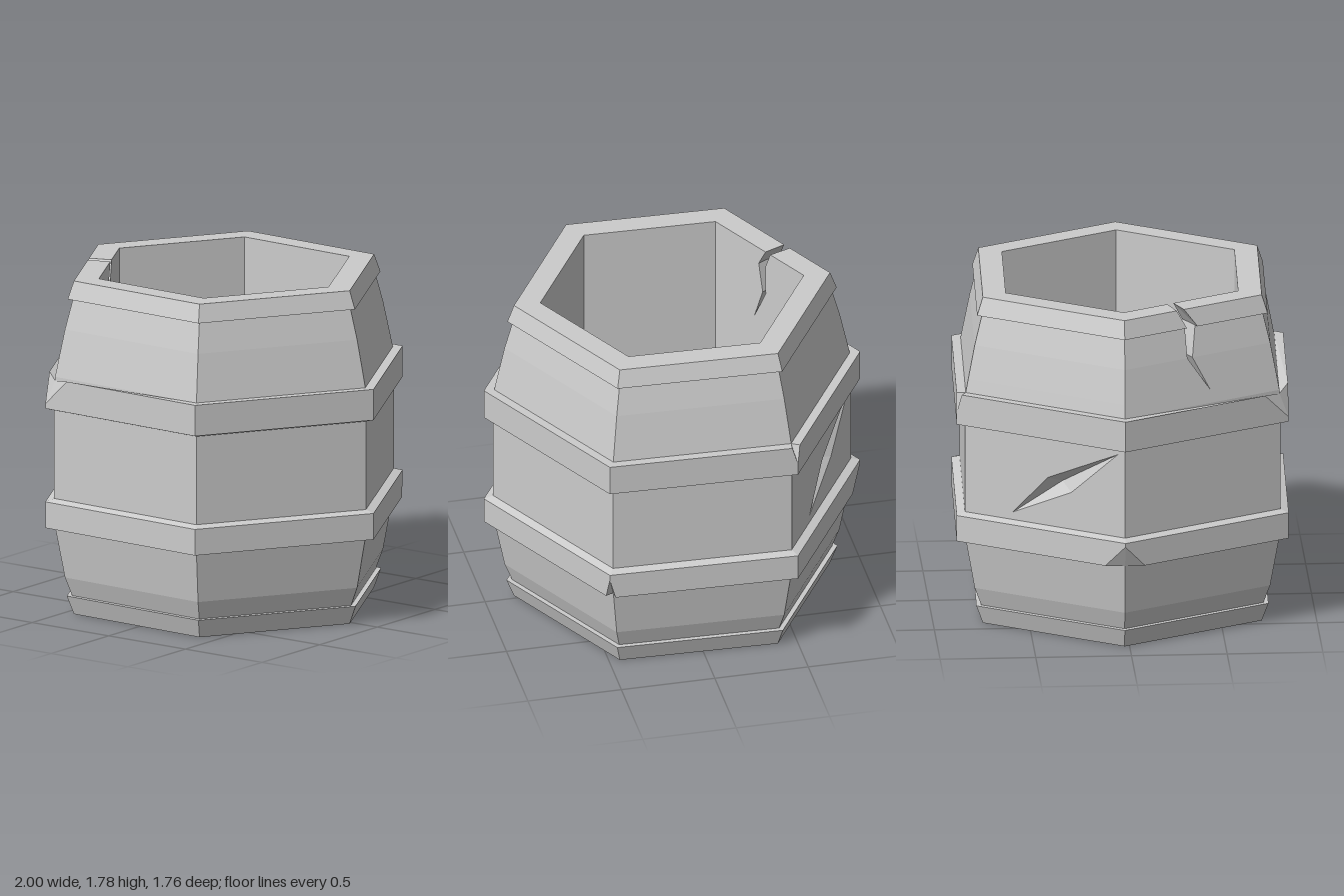
import * as THREE from 'three';

const SIDES = 6;
const TWIST = THREE.MathUtils.degToRad(1.8);

// Point on side k: t runs from corner k (0) to corner k + 1 (1)
function at(k, t, r, y) {
  const a = TWIST + (k * Math.PI * 2) / SIDES;
  const b = a + (Math.PI * 2) / SIDES;
  return new THREE.Vector3(
    r * THREE.MathUtils.lerp(Math.cos(a), Math.cos(b), t), y,
    r * THREE.MathUtils.lerp(Math.sin(a), Math.sin(b), t));
}

// Collects convex polygons and turns them into one flat-shaded mesh
function builder() {
  const pos = [];
  const tri = new THREE.Triangle();
  return {
    poly(...p) {
      for (let i = 1; i < p.length - 1; i++) {
        tri.set(p[0], p[i], p[i + 1]);
        if (tri.getArea() < 1e-7) continue;
        for (const v of [p[0], p[i], p[i + 1]]) pos.push(v.x, v.y, v.z);
      }
    },
    mesh(name, material) {
      const g = new THREE.BufferGeometry();
      g.setAttribute('position', new THREE.Float32BufferAttribute(pos, 3));
      g.computeVertexNormals();
      const m = new THREE.Mesh(g, material);
      m.name = name;
      return m;
    },
  };
}

// Barrel outline [radius, height]: base, outer staves, rim, inner wall, floor
const PROFILE = [
  [0, 0], [0.84, 0], [0.88, 0.1], [0.85, 0.1], [0.89, 0.2], [0.945, 0.475],
  [0.95, 0.63], [0.95, 1.1], [0.945, 1.28], [0.93, 1.35], [0.89, 1.53],
  [0.845, 1.69], [0.875, 1.69], [0.84, 1.785],
  [0.7, 1.785], [0.7, 1.69], [0.7, 1.53], [0.7, 1.35], [0.7, 0.1], [0, 0.1],
];
const CRACK_SIDE = 2;
const GASH_SIDE = 3;

// Edges of the crack, as positions along its side, by height
const CRACK = { 1.785: [0.567, 0.62], 1.69: [0.49, 0.565], 1.53: [0.535, 0.57], 1.35: [0.44, 0.44] };
const gap = (y) => CRACK[y] || [0.5, 0.5];

// Slanting gouge cut into one flat side
function gash(b, k, r, y0, y1) {
  const p = (t, y, rad = r) => at(k, t, rad, y);
  const A = p(0, y0), B = p(1, y0), C = p(1, y1), D = p(0, y1);
  const low = p(0.7, 0.67), up = p(0.485, 0.89), high = p(0.045, 1.08), down = p(0.336, 0.83);
  const deep = p(0.42, 0.865, r - 0.07);
  const tris = [
    [A, B, low], [A, low, down], [A, down, high], [B, C, low],
    [C, up, low], [C, high, up], [C, D, high], [D, A, high],
    [low, up, deep], [up, high, deep], [high, down, deep], [down, low, deep],
  ];
  for (const [u, v, w] of tris) b.poly(u, w, v);
}

function barrelBody(material) {
  const b = builder();
  for (let k = 0; k < SIDES; k++) {
    for (let i = 0; i < PROFILE.length - 1; i++) {
      const [r0, y0] = PROFILE[i], [r1, y1] = PROFILE[i + 1];
      const strip = (a0, b0, a1, b1) =>
        b.poly(at(k, b0, r0, y0), at(k, a0, r0, y0), at(k, a1, r1, y1), at(k, b1, r1, y1));
      if (k === GASH_SIDE && y0 === 0.63 && y1 === 1.1) {
        gash(b, k, r0, y0, y1);
      } else if (k === CRACK_SIDE) {
        const g0 = gap(y0), g1 = gap(y1);
        strip(0, g0[0], 0, g1[0]);
        strip(g0[1], 1, g1[1], 1);
        // Cut faces through the thickness of the wall
        if (y0 >= 1.35 && y1 > y0) {
          [0, 1].forEach((s) => {
            const q = [at(k, g0[s], r0, y0), at(k, g1[s], r1, y1), at(k, g1[s], 0.7, y1), at(k, g0[s], 0.7, y0)];
            b.poly(...(s ? q.reverse() : q));
          });
        }
      } else {
        strip(0, 1, 0, 1);
      }
    }
  }
  return b.mesh('barrelBody', material);
}

// Hoop with broken corners; chips maps corner -> { w: width, d: depth, top, dip }
function hoop(name, material, y0, y1, inner0, inner1, chips) {
  const b = builder();
  const R = 1, RI = 0.945;
  for (let k = 0; k < SIDES; k++) {
    const next = (k + 1) % SIDES;
    // Outline of one vertical end of a side, from bottom to top
    const end = (c, t) => {
      const chip = chips[c];
      if (!chip) return [at(k, t, R, y0), at(k, t, R, y1)];
      const s = t ? 1 - chip.w : chip.w;
      return chip.top
        ? [at(k, t, R, y0), at(k, t, R, y1 - chip.d), at(k, s, R, y1)]
        : [at(k, s, R, y0), at(k, t, R, y0 + chip.d), at(k, t, R, y1)];
    };
    const right = end(k, 0), left = end(next, 1);
    const dip = (c, top) => (chips[c] && chips[c].top === top ? chips[c].dip || 0 : 0);
    const topIn = [at(k, 0, RI, inner1 - dip(k, true)), at(k, 1, RI, inner1 - dip(next, true))];
    const botIn = [at(k, 0, RI, inner0), at(k, 1, RI, inner0)];
    b.poly(...right, ...[...left].reverse());
    b.poly(left[left.length - 1], right[right.length - 1], topIn[0], topIn[1]);
    b.poly(right[0], left[0], botIn[1], botIn[0]);

    // Broken faces of the chip at corner k
    const chip = chips[k];
    if (chip) {
      const y = chip.top ? y1 : y0;
      const before = at((k + SIDES - 1) % SIDES, 1 - chip.w, R, y);
      const after = at(k, chip.w, R, y);
      const tip = right[1];
      if (chip.top) {
        b.poly(tip, before, topIn[0]);
        b.poly(tip, topIn[0], after);
      } else {
        b.poly(tip, botIn[0], before);
        b.poly(tip, after, botIn[0]);
      }
    }
  }
  return b.mesh(name, material);
}

export function createModel() {
  const group = new THREE.Group();
  group.name = 'barrel';
  const material = new THREE.MeshStandardMaterial({ color: 0xcccccc, flatShading: true });
  group.add(
    barrelBody(material),
    hoop('lowerHoop', material, 0.475, 0.615, 0.475, 0.63, {
      3: { w: 0.12, d: 0.12, top: false },
      5: { w: 0.03, d: 0.11, top: false },
    }),
    hoop('upperHoop', material, 1.115, 1.28, 1.1, 1.28, {
      2: { w: 0.145, d: 0.14, top: true, dip: 0.02 },
      4: { w: 0.03, d: 0.1, top: true },
    }),
  );
  return group;
}
